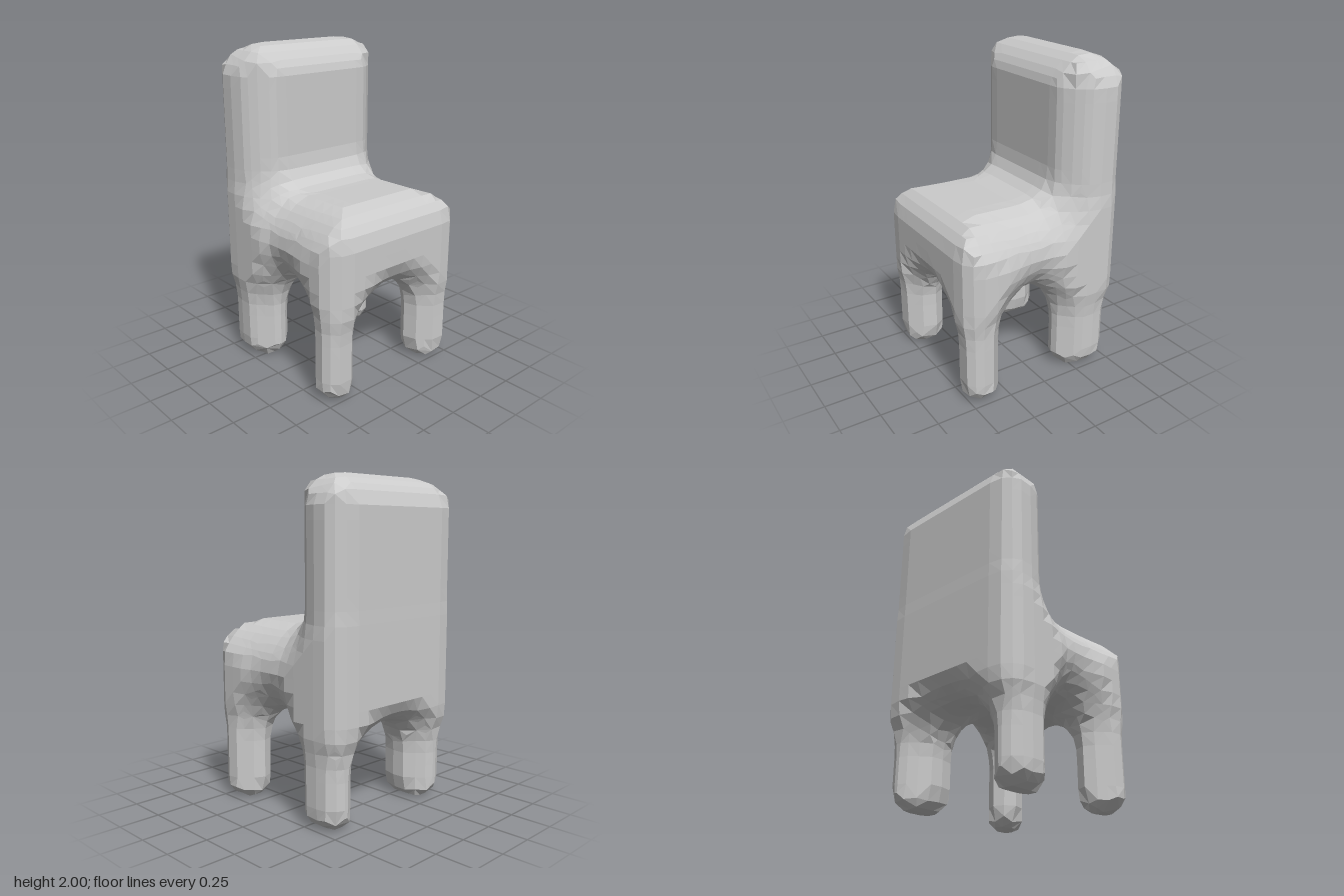
import * as THREE from 'three';

const ANY = 9; // half size along an axis that a profile leaves free

// Distance to a box with softly chamfered edges (c: centre, s: half size, r: edge size)
function softBox(x, y, z, c, s, r) {
  const q = [x - c[0], y - c[1], z - c[2]].map((v, i) => Math.abs(v) - s[i] + r);
  const sum = q.reduce((t, v) => t + Math.pow(Math.max(v, 0), 1.6), 0);
  return Math.pow(sum, 1 / 1.6) + Math.min(Math.max(...q), 0) - r;
}

// Union with a fillet of size k
function blend(a, b, k) {
  const h = Math.max(k - Math.abs(a - b), 0) / k;
  return Math.min(a, b) - h * h * k / 4;
}

// Seat: where its front, side and top profiles overlap; the sides are slightly waisted
function seat(x, y, z) {
  const half = 0.505 + 0.13 * x * x;
  return Math.max(
    softBox(x, y, z, [0.005, 0.875, 0], [0.545, 0.265, ANY], 0.18),
    softBox(x, y, z, [0, 0.875, 0], [ANY, 0.265, half], 0.25),
    softBox(x, y, z, [0.005, 0, 0], [0.545, ANY, half], 0.11));
}

// Backrest: tighter corners behind than in front
function backrest(x, y, z) {
  return Math.max(
    softBox(x, y, z, [-0.342, 1.3, 0], [0.2, 0.7, ANY], 0.18),
    softBox(x, y, z, [0, 1.3, 0], [ANY, 0.7, 0.52], 0.19),
    softBox(x, y, z, [-0.542, 0, 0], [0.4, ANY, 0.52], 0.2),
    softBox(x, y, z, [-0.142, 0, 0], [0.4, ANY, 0.525], 0.12));
}

// Leg: chamfered foot, thinned across the diagonal so that its outer and inner corners form ridges
function leg(x, y, z, cx, halfX, thin, side) {
  return Math.max(
    softBox(x, y, z, [cx, 0.4, 0.38], [halfX, 0.4, 0.13], 0.1),
    Math.abs(x - cx - side * (z - 0.38)) * Math.SQRT1_2 - thin);
}

// The chair faces +x and is mirrored in z
function chair(x, y, z) {
  const az = Math.abs(z);
  const legs = Math.min(
    leg(x, y, az, 0.4, 0.135, 0.105, 1),
    leg(x, y, az, -0.319, 0.172, 0.13, -1));
  const body = blend(seat(x, y, z), backrest(x, y, z), 0.2);
  // Keeps the fillets from swelling the outer faces
  const limit = softBox(x, y, z, [0.003, 0, 0], [0.547, ANY, 0.53], 0.12);
  return Math.max(blend(body, legs, 0.27), limit);
}

// Moves a point onto the surface along the slope of the distance
function settle(p) {
  const e = 0.01;
  for (let i = 0; i < 5; i++) {
    const [x, y, z] = p, d = chair(x, y, z);
    const g = [
      chair(x + e, y, z) - chair(x - e, y, z),
      chair(x, y + e, z) - chair(x, y - e, z),
      chair(x, y, z + e) - chair(x, y, z - e)].map(v => v / (2 * e));
    const len2 = Math.max(g[0] ** 2 + g[1] ** 2 + g[2] ** 2, 0.3);
    for (let a = 0; a < 3; a++) p[a] -= 0.8 * d * g[a] / len2;
  }
  return p;
}

// Coarse skin over the blended form: one point per crossed cell, one quad per crossed edge
function buildSkin(onTriangle) {
  const h = 0.08, n = [18, 29, 18], o = [-0.72, -0.14, -0.72];
  const at = (i, j, k) => [o[0] + i * h, o[1] + j * h, o[2] + k * h];
  const key = (i, j, k) => (i * 64 + j) * 64 + k;
  const value = new Map(), points = new Map();
  for (let i = 0; i <= n[0]; i++) for (let j = 0; j <= n[1]; j++) for (let k = 0; k <= n[2]; k++)
    value.set(key(i, j, k), chair(...at(i, j, k)));

  const edges = [];
  for (let c = 0; c < 8; c++) for (const b of [1, 2, 4]) if (!(c & b)) edges.push([c, c | b]);
  const corner = (c) => [c & 1, (c >> 1) & 1, c >> 2];

  for (let i = 0; i < n[0]; i++) for (let j = 0; j < n[1]; j++) for (let k = 0; k < n[2]; k++) {
    const sum = [0, 0, 0];
    let count = 0;
    for (const [c0, c1] of edges) {
      const a = corner(c0), b = corner(c1);
      const va = value.get(key(i + a[0], j + a[1], k + a[2]));
      const vb = value.get(key(i + b[0], j + b[1], k + b[2]));
      if ((va < 0) === (vb < 0)) continue;
      const t = va / (va - vb);
      for (let m = 0; m < 3; m++) sum[m] += a[m] + (b[m] - a[m]) * t;
      count++;
    }
    if (count) points.set(key(i, j, k), settle(at(i, j, k).map((v, m) => v + h * sum[m] / count)));
  }

  for (let i = 1; i < n[0]; i++) for (let j = 1; j < n[1]; j++) for (let k = 1; k < n[2]; k++) {
    const g = [i, j, k], inside = value.get(key(i, j, k)) < 0;
    for (let a = 0; a < 3; a++) {
      const next = [...g];
      next[a]++;
      if (inside === value.get(key(...next)) < 0) continue;
      const u = (a + 1) % 3, v = (a + 2) % 3;
      const quad = [[1, 1], [0, 1], [0, 0], [1, 0]].map(([du, dv]) => {
        const cell = [...g];
        cell[u] -= du;
        cell[v] -= dv;
        return points.get(key(...cell));
      });
      if (!inside) quad.reverse();
      onTriangle(quad[0], quad[1], quad[2]);
      onTriangle(quad[0], quad[2], quad[3]);
    }
  }
}

// Which part of the chair a spot on the skin belongs to
function partName(x, y, z) {
  if (y < 0.56) return (x > 0 ? 'front' : 'back') + 'Leg' + (z > 0 ? 'A' : 'B');
  return x < -0.12 && y > 1.1 ? 'backrest' : 'seat';
}

export function createModel() {
  const parts = {};
  buildSkin((a, b, c) => {
    const mid = a.map((v, m) => (v + b[m] + c[m]) / 3);
    (parts[partName(...mid)] ??= []).push(...a, ...b, ...c);
  });

  const group = new THREE.Group();
  group.name = 'chair';
  const material = new THREE.MeshStandardMaterial({ color: 0xcccccc, flatShading: true });
  for (const [name, coords] of Object.entries(parts)) {
    const geometry = new THREE.BufferGeometry();
    geometry.setAttribute('position', new THREE.Float32BufferAttribute(coords, 3));
    geometry.computeVertexNormals();
    const mesh = new THREE.Mesh(geometry, material);
    mesh.name = name;
    group.add(mesh);
  }
  return group;
}
